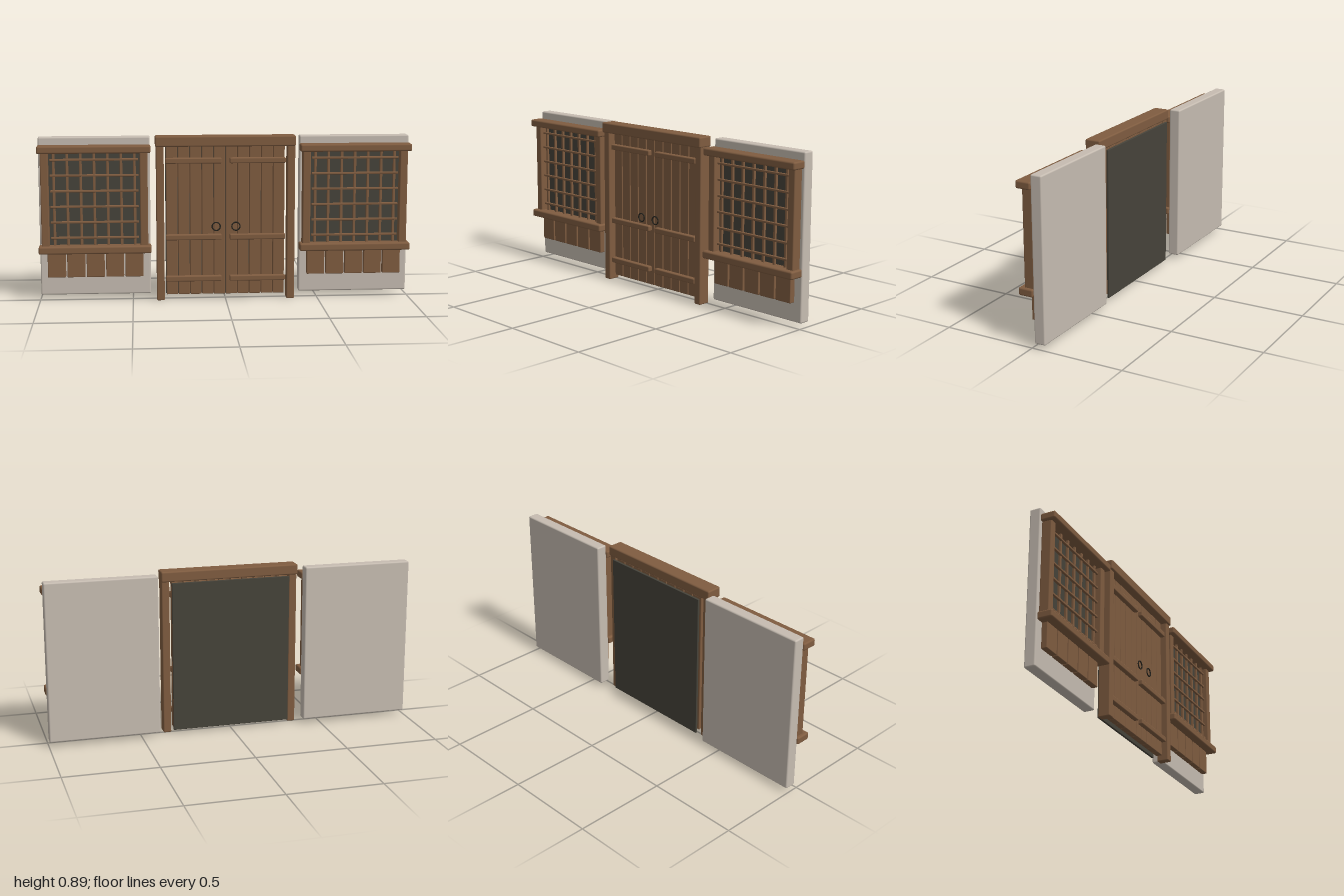
import * as THREE from 'three';
import { RoundedBoxGeometry } from 'three/addons/geometries/RoundedBoxGeometry.js';

export function createModel() {
  const mat = (name, color) => {
    const m = new THREE.MeshStandardMaterial({ color });
    m.name = name;
    return m;
  };
  const wood = mat('brown wood', 0x7f5c40);
  const plaster = mat('pale plaster', 0xc6bcb1);
  const dark = mat('dark backing', 0x46433a);
  const iron = mat('black iron', 0x25231d);

  const model = new THREE.Group();
  model.name = 'gateFront';

  // Softly rounded box given by its limits on each axis
  const block = (parent, name, m, [x0, x1], [y0, y1], [z0, z1], r = 0.006) => {
    const w = x1 - x0, h = y1 - y0, d = z1 - z0;
    const geo = new RoundedBoxGeometry(w, h, d, 2, Math.min(r, w * 0.3, h * 0.3, d * 0.3));
    const mesh = new THREE.Mesh(geo, m);
    mesh.name = name;
    mesh.position.set((x0 + x1) / 2, (y0 + y1) / 2, (z0 + z1) / 2);
    parent.add(mesh);
    return mesh;
  };

  // Wall bay with a latticed window and a plank skirt
  const windowBay = (name, x) => {
    const bay = new THREE.Group();
    bay.name = name;
    bay.position.x = x;
    model.add(bay);

    block(bay, 'wall', plaster, [-0.297, 0.297], [0.025, 0.882], [-0.073, -0.012], 0.008);
    block(bay, 'windowBacking', dark, [-0.26, 0.26], [0.29, 0.81], [-0.015, 0.004], 0.002);
    block(bay, 'topRail', wood, [-0.3, 0.3], [0.802, 0.842], [-0.01, 0.072], 0.009);
    block(bay, 'sillRail', wood, [-0.3, 0.3], [0.263, 0.304], [-0.01, 0.072], 0.009);
    for (const s of [-1, 1]) {
      block(bay, 'windowPost', wood, [s * 0.263 - 0.021, s * 0.263 + 0.021], [0.295, 0.81], [-0.01, 0.045]);
    }
    // Lattice
    for (let i = 0; i < 7; i++) {
      const bx = (i - 3) * 0.0715;
      block(bay, 'latticeUpright', wood, [bx - 0.007, bx + 0.007], [0.3, 0.805], [0.01, 0.024], 0.003);
    }
    for (let i = 0; i < 6; i++) {
      const by = 0.345 + i * 0.084;
      block(bay, 'latticeBar', wood, [-0.235, 0.235], [by - 0.006, by + 0.006], [0.018, 0.032], 0.003);
    }
    // Skirt planks
    for (let i = 0; i < 5; i++) {
      const px = (i - 2) * 0.104;
      block(bay, 'skirtPlank', wood, [px - 0.048, px + 0.048], [0.128, 0.27], [-0.008, 0.025], 0.004);
    }
  };
  windowBay('rightWindowBay', -0.7);
  windowBay('leftWindowBay', 0.7);

  // Gate frame
  const gate = new THREE.Group();
  gate.name = 'gate';
  model.add(gate);
  block(gate, 'lintel', wood, [-0.376, 0.374], [0.834, 0.89], [-0.018, 0.067], 0.008);
  for (const s of [-1, 1]) {
    block(gate, 'gatePost', wood, [s * 0.351 - 0.021, s * 0.351 + 0.021], [0, 0.845], [-0.01, 0.056]);
  }
  block(gate, 'gateBacking', dark, [-0.322, 0.322], [0.02, 0.832], [-0.038, -0.026], 0.002);

  // Two plank door leaves with straps and ring handles
  for (const s of [-1, 1]) {
    const leaf = new THREE.Group();
    leaf.name = s < 0 ? 'rightDoor' : 'leftDoor';
    gate.add(leaf);
    for (let i = 0; i < 5; i++) {
      const px = s * (0.032 + i * 0.064);
      block(leaf, 'doorPlank', wood, [px - 0.0305, px + 0.0305], [0.026, 0.834], [-0.01, 0.026], 0.004);
    }
    for (const y of [0.757, 0.343, 0.116]) {
      const ends = [s * 0.022, s * 0.322].sort((a, b) => a - b);
      block(leaf, 'doorStrap', wood, ends, [y - 0.015, y + 0.015], [0.018, 0.05]);
    }
    const ring = new THREE.Mesh(new THREE.TorusGeometry(0.022, 0.0035, 8, 24), iron);
    ring.name = 'ringHandle';
    ring.position.set(s * 0.053, 0.406, 0.073);
    leaf.add(ring);
  }
  return model;
}
